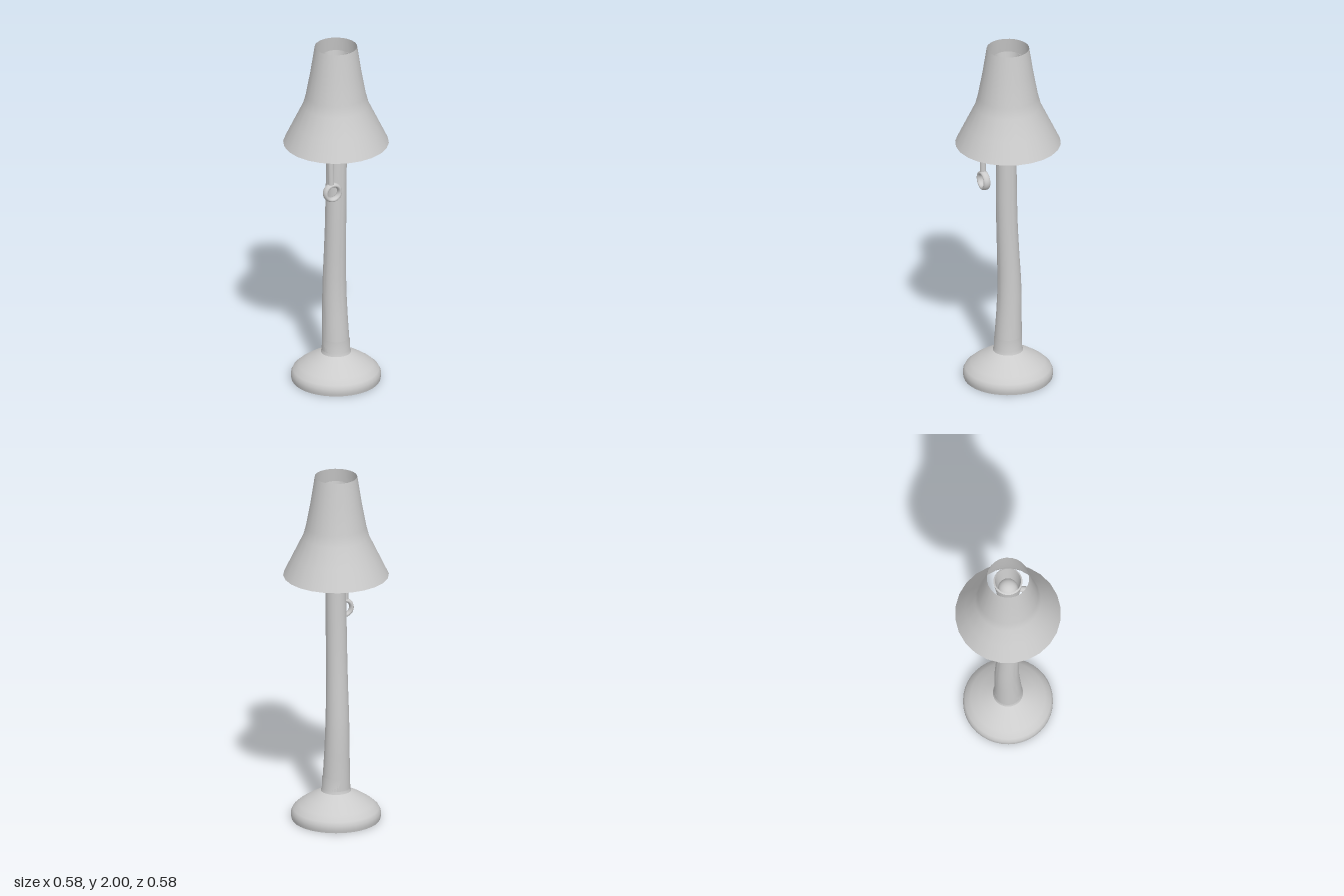
import * as THREE from 'three';
import { toCreasedNormals } from 'three/addons/utils/BufferGeometryUtils.js';

const grey = new THREE.MeshStandardMaterial({ color: 0xcccccc });
const greyThin = new THREE.MeshStandardMaterial({ color: 0xcccccc, side: THREE.DoubleSide });
const points = (list) => list.map(([r, y]) => new THREE.Vector2(r, y));

function add(group, name, geometry, material = grey) {
  const mesh = new THREE.Mesh(geometry, material);
  mesh.name = name;
  group.add(mesh);
  return mesh;
}

// Round tube through sections of [y, radius, centreX, centreZ]
function loftedStem(sections, sides = 32) {
  const position = [], index = [];
  sections.forEach(([y, r, cx, cz], j) => {
    for (let i = 0; i <= sides; i++) {
      const a = (i / sides) * Math.PI * 2;
      position.push(cx + r * Math.sin(a), y, cz + r * Math.cos(a));
      if (j && i < sides) {
        const b = j * (sides + 1) + i, p = b - sides - 1;
        index.push(p, p + 1, b, p + 1, b + 1, b);
      }
    }
  });
  const geometry = new THREE.BufferGeometry();
  geometry.setAttribute('position', new THREE.Float32BufferAttribute(position, 3));
  geometry.setIndex(index);
  return toCreasedNormals(geometry, 0.6);
}

export function createModel() {
  const lamp = new THREE.Group();
  lamp.name = 'tableLamp';

  // Weighted foot with a domed top
  const foot = new THREE.LatheGeometry(points([
    [0, 0], [0.243, 0], [0.246, 0.01], [0.246, 0.04], [0.236, 0.06], [0.205, 0.088],
    [0.155, 0.122], [0.105, 0.15], [0.083, 0.163], [0.078, 0.18], [0.077, 0.25],
  ]), 40);
  add(lamp, 'base', toCreasedNormals(foot, 0.6));

  // Slightly bent, tapering stem
  add(lamp, 'stem', loftedStem([
    [0.15, 0.079, 0, 0], [0.25, 0.075, -0.002, -0.002], [0.38, 0.07, -0.003, -0.007],
    [0.5, 0.067, -0.004, -0.011], [0.62, 0.064, -0.005, -0.009], [0.76, 0.061, -0.005, -0.003],
    [0.9, 0.059, -0.005, 0.003], [1.1, 0.058, -0.004, 0.008], [1.4, 0.056, -0.001, 0.01],
    [1.72, 0.055, 0, 0.004],
  ]), greyThin);

  // Open socket holding the bulb
  add(lamp, 'socket', toCreasedNormals(new THREE.LatheGeometry(points([
    [0, 1.7], [0.055, 1.7], [0.064, 1.78], [0.072, 1.87], [0.08, 1.94],
    [0.072, 1.945], [0.064, 1.87], [0.055, 1.78], [0, 1.76],
  ]), 24), 0.6), greyThin);
  const bulb = add(lamp, 'bulb', new THREE.SphereGeometry(0.055, 24, 16));
  bulb.position.y = 1.83;

  // Thin flared shade, open at both ends
  const shade = new THREE.LatheGeometry(points([
    [0.29, 1.425], [0.235, 1.54], [0.182, 1.65], [0.166, 1.71], [0.14, 1.85], [0.117, 2],
  ]), 24);
  add(lamp, 'shade', shade, greyThin);

  // Pull switch: bent rod from the socket and an oval-section ring
  const pull = new THREE.Group();
  pull.name = 'pullSwitch';
  const path = new THREE.CatmullRomCurve3([
    [-0.088, 1.225, 0.11], [-0.09, 1.42, 0.11], [-0.086, 1.62, 0.108],
    [-0.055, 1.76, 0.098], [-0.025, 1.8, 0.045],
  ].map((p) => new THREE.Vector3(...p)));
  add(pull, 'pullRod', new THREE.TubeGeometry(path, 24, 0.017, 12), greyThin);
  const ring = add(pull, 'pullRing', new THREE.TorusGeometry(0.044, 0.012, 12, 32));
  ring.scale.z = 1.7;
  ring.position.set(-0.08, 1.182, 0.11);
  lamp.add(pull);

  return lamp;
}
